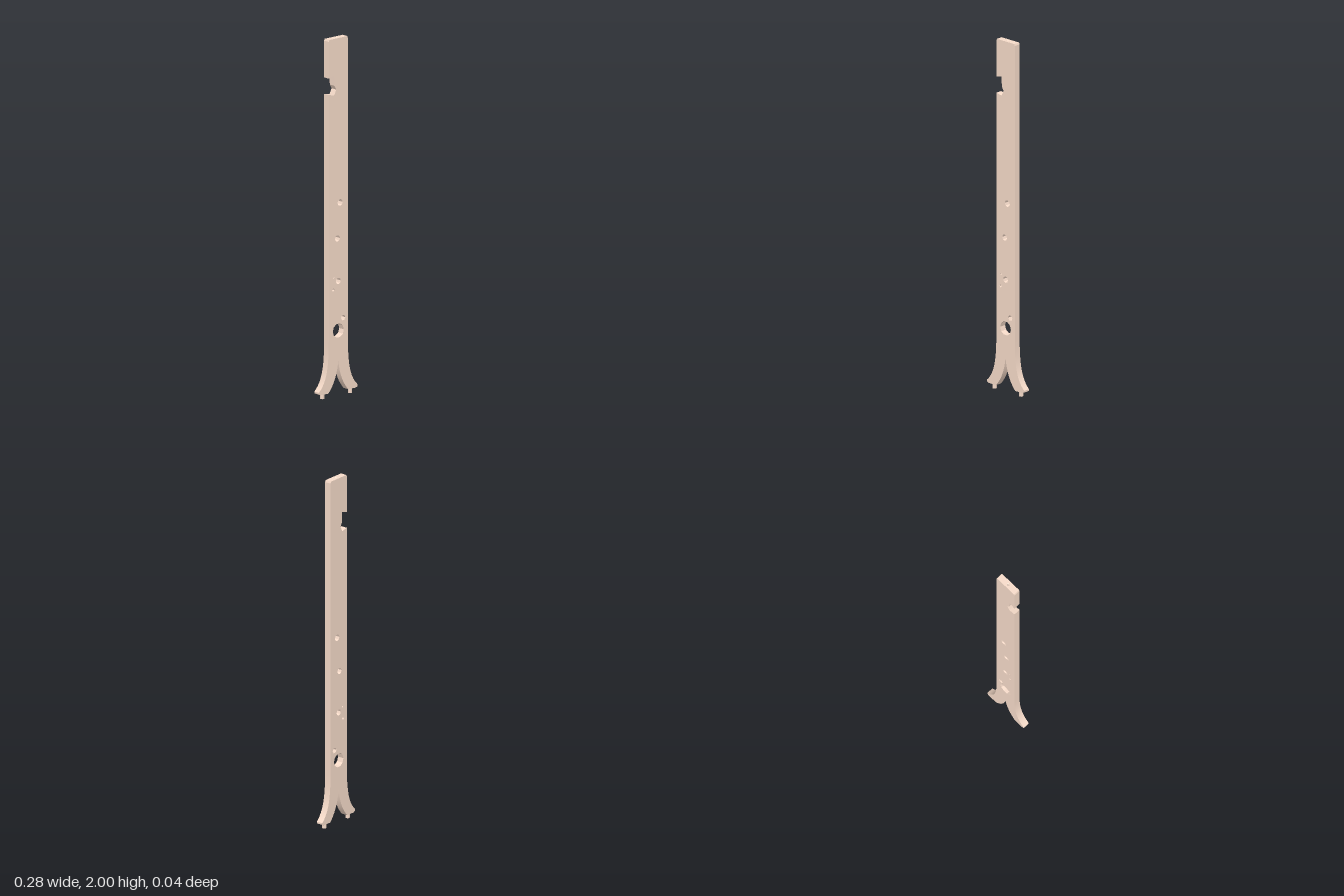
import * as THREE from 'three';
import { toCreasedNormals } from 'three/addons/utils/BufferGeometryUtils.js';

const wood = new THREE.MeshStandardMaterial({ color: 0xf6dbc9 });
const HALF = 0.069, BACK = -0.02, FRONT = 0.018, CAP = 0.01, CHAMFER = 0.004;

function addPart(group, name, geometry, material = wood) {
  const mesh = new THREE.Mesh(geometry, material);
  mesh.name = name;
  group.add(mesh);
  return mesh;
}

// Polygonal hole path
function polygonHole([x, y, radius, sides]) {
  const points = [];
  for (let i = 0; i < sides; i++) {
    const a = -(i / sides) * Math.PI * 2;
    points.push(new THREE.Vector2(x + radius * Math.cos(a), y + radius * Math.sin(a)));
  }
  return new THREE.Path(points);
}

// Flat board with forked, flared feet and an edge notch
function boardShape() {
  const s = new THREE.Shape();
  s.moveTo(HALF, 2 - CAP);
  s.lineTo(-HALF, 2 - CAP);
  // Notch in the edge
  [[-HALF, 1.785], [-0.03, 1.795], [-0.028, 1.738], [-0.015, 1.715], [-0.03, 1.685], [-HALF, 1.693]]
    .forEach(([x, y]) => s.lineTo(x, y));
  // Right foot
  s.lineTo(-HALF, 0.32);
  s.bezierCurveTo(-HALF, 0.17, -0.085, 0.09, -0.14, 0.043);
  s.lineTo(-0.14, 0.034);
  s.lineTo(-0.127, 0.027);
  s.lineTo(-0.072, 0.027);
  s.quadraticCurveTo(-0.012, 0.09, 0, 0.2);
  // Left foot
  s.quadraticCurveTo(0.012, 0.09, 0.072, 0.027);
  s.lineTo(0.127, 0.027);
  s.lineTo(0.14, 0.034);
  s.lineTo(0.14, 0.043);
  s.bezierCurveTo(0.085, 0.09, HALF, 0.17, HALF, 0.32);
  s.closePath();
  // Drilled holes: x, y, radius, sides
  s.holes = [
    [0.013, 1.08, 0.019, 8],
    [-0.007, 0.882, 0.018, 8],
    [0, 0.644, 0.018, 8],
    [-0.034, 0.667, 0.005, 4],
    [-0.037, 0.599, 0.009, 4],
    [0.035, 0.433, 0.016, 6],
    [0, 0.367, 0.04, 10],
  ].map(polygonHole);
  return s;
}

// Top end with a square pit and slightly chamfered ends
function topEndGeometry() {
  const end = new THREE.Shape([
    new THREE.Vector2(-HALF, -FRONT), new THREE.Vector2(HALF, -FRONT),
    new THREE.Vector2(HALF, -BACK), new THREE.Vector2(-HALF, -BACK),
  ]);
  end.holes.push(polygonHole([0, 0, 0.01, 4]));
  const geometry = new THREE.ExtrudeGeometry(end, { depth: CAP, bevelEnabled: false });
  geometry.rotateX(-Math.PI / 2);
  geometry.translate(0, 2 - CAP, 0);
  const p = geometry.attributes.position;
  for (let i = 0; i < p.count; i++) {
    const x = p.getX(i);
    if (p.getY(i) > 2 - CAP / 2 && Math.abs(x) > HALF / 2) p.setX(i, x - Math.sign(x) * CHAMFER);
  }
  geometry.computeVertexNormals();
  return geometry;
}

export function createModel() {
  const group = new THREE.Group();
  group.name = 'forkedBoard';

  const board = new THREE.ExtrudeGeometry(boardShape(), {
    depth: FRONT - BACK, bevelEnabled: false, curveSegments: 12,
  });
  board.translate(0, 0, BACK);
  addPart(group, 'board', toCreasedNormals(board, 0.4));
  addPart(group, 'topEnd', topEndGeometry());

  // Shallow pit, seen from inside
  const inside = wood.clone();
  inside.side = THREE.BackSide;
  inside.flatShading = true;
  const pit = new THREE.ConeGeometry(0.01, 0.006, 4, 1, true);
  pit.rotateX(Math.PI);
  pit.translate(0, 1.997, 0);
  addPart(group, 'topPit', pit, inside);

  // Pegs under the feet
  for (const [side, name] of [[1, 'leftFootPeg'], [-1, 'rightFootPeg']]) {
    const peg = new THREE.CylinderGeometry(0.012, 0.012, 0.036, 8);
    addPart(group, name, toCreasedNormals(peg, 0.5)).position.set(side * 0.1, 0.018, 0);
  }
  return group;
}
